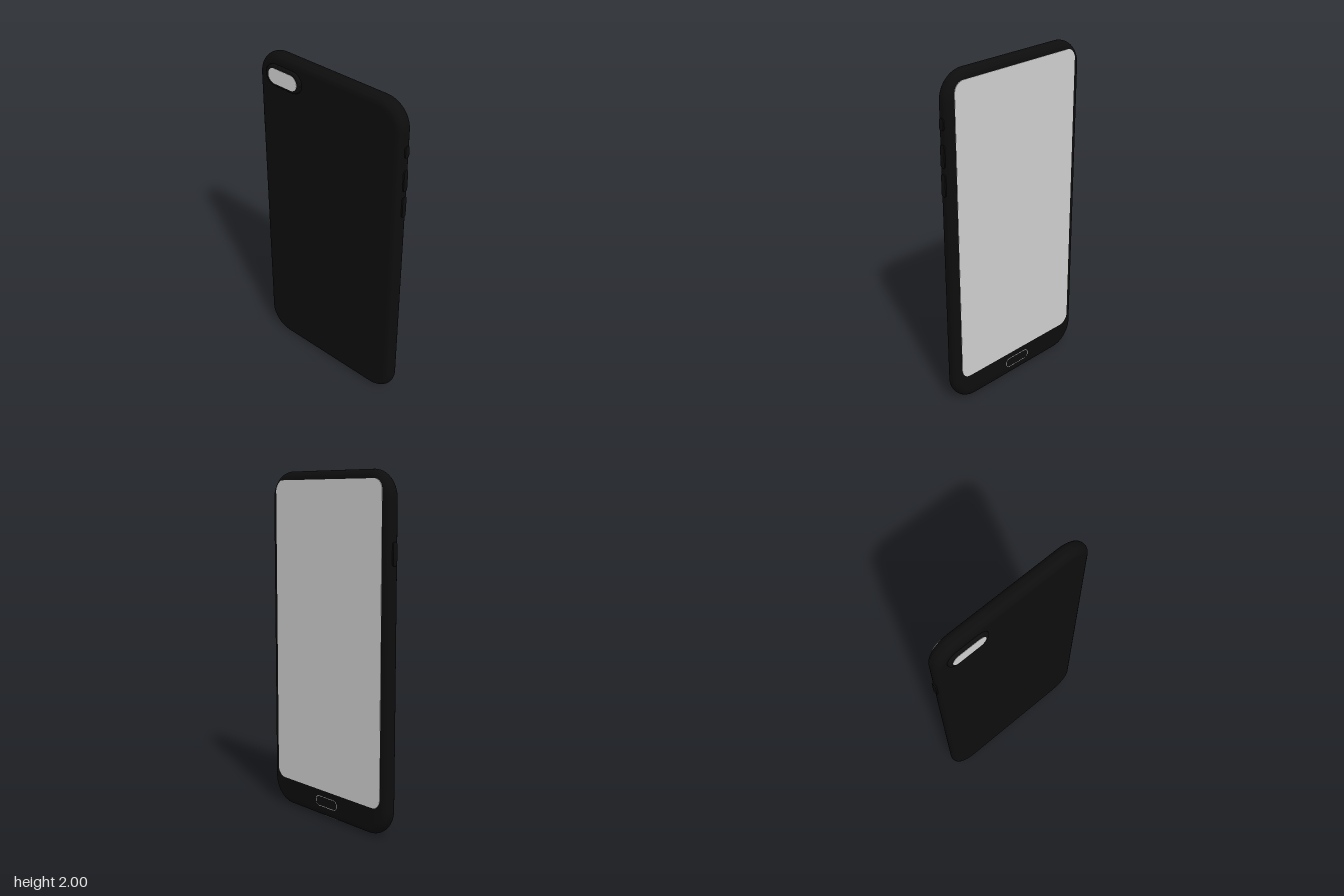
import * as THREE from 'three';
import { toCreasedNormals } from 'three/addons/utils/BufferGeometryUtils.js';

const black = new THREE.MeshStandardMaterial({ color: 0x0d0d0d });
black.name = 'black';
const grey = new THREE.MeshStandardMaterial({ color: 0xd0d0d0 });
grey.name = 'light grey';

// Rounded rectangle outline centred on the origin
function outline(w, h, r, Type = THREE.Shape) {
  const s = new Type(), x = w / 2, y = h / 2;
  s.absarc(x - r, y - r, r, 0, Math.PI / 2);
  s.absarc(-x + r, y - r, r, Math.PI / 2, Math.PI);
  s.absarc(-x + r, -y + r, r, Math.PI, Math.PI * 1.5);
  s.absarc(x - r, -y + r, r, Math.PI * 1.5, Math.PI * 2);
  s.closePath();
  return s;
}

// Rounded slab of total size w x h x d, with an optional edge rounding and border-only form
function slab(name, material, w, h, d, r, { bevel = 0, border = 0 } = {}) {
  const shape = outline(w - 2 * bevel, h - 2 * bevel, r - bevel);
  if (border) shape.holes.push(outline(w - 2 * border, h - 2 * border, r - border, THREE.Path));
  const geometry = new THREE.ExtrudeGeometry(shape, {
    depth: d - 2 * bevel, curveSegments: 12, bevelEnabled: bevel > 0,
    bevelSize: bevel, bevelThickness: bevel, bevelSegments: bevel > 0.02 ? 10 : 3,
  });
  geometry.center();
  const mesh = new THREE.Mesh(toCreasedNormals(geometry, 0.6), material);
  mesh.name = name;
  return mesh;
}

export function createModel() {
  const phone = new THREE.Group();
  phone.name = 'phone';
  const add = (mesh, x, y, z) => {
    mesh.position.set(x, y, z);
    phone.add(mesh);
    return mesh;
  };
  const midZ = -0.008, backZ = -0.052, frontZ = 0.036;

  // Body with fully rounded edges
  add(slab('body', black, 0.98, 1.996, 0.088, 0.155, { bevel: 0.0435 }), 0, 1.002, midZ);

  // Screen and home button on the back-facing side
  add(slab('screen', grey, 0.88, 1.785, 0.004, 0.06), 0, 1.058, backZ);
  add(slab('homeButton', black, 0.174, 0.054, 0.004, 0.024), 0, 0.098, backZ);
  add(slab('homeButtonRim', grey, 0.18, 0.06, 0.003, 0.027, { border: 0.003 }), 0, 0.098, backZ);

  // Camera bump and its lens plate
  add(slab('cameraBump', black, 0.25, 0.126, 0.03, 0.062, { bevel: 0.01 }), -0.298, 1.875, frontZ);
  add(slab('cameraLens', grey, 0.204, 0.09, 0.004, 0.044), -0.298, 1.875, frontZ + 0.0145);

  // Side buttons: x side, centre height, length
  const buttons = [
    ['powerButton', -1, 1.56, 0.126],
    ['muteSwitch', 1, 1.733, 0.066],
    ['volumeUpButton', 1, 1.56, 0.126],
    ['volumeDownButton', 1, 1.397, 0.126],
  ];
  for (const [name, side, y, length] of buttons) {
    const button = slab(name, black, 0.03, length, 0.024, 0.012, { bevel: 0.003 });
    button.rotation.y = Math.PI / 2;
    add(button, side * 0.485, y, midZ);
  }

  // Charging port on the bottom edge
  const port = slab('chargingPort', black, 0.114, 0.02, 0.006, 0.009);
  const rim = slab('chargingPortRim', grey, 0.118, 0.024, 0.006, 0.011, { border: 0.002 });
  for (const part of [port, rim]) {
    part.rotation.x = Math.PI / 2;
    add(part, 0, 0.0045, midZ);
  }

  phone.rotation.y = 0.0055;
  const model = new THREE.Group();
  model.add(phone);
  return model;
}
